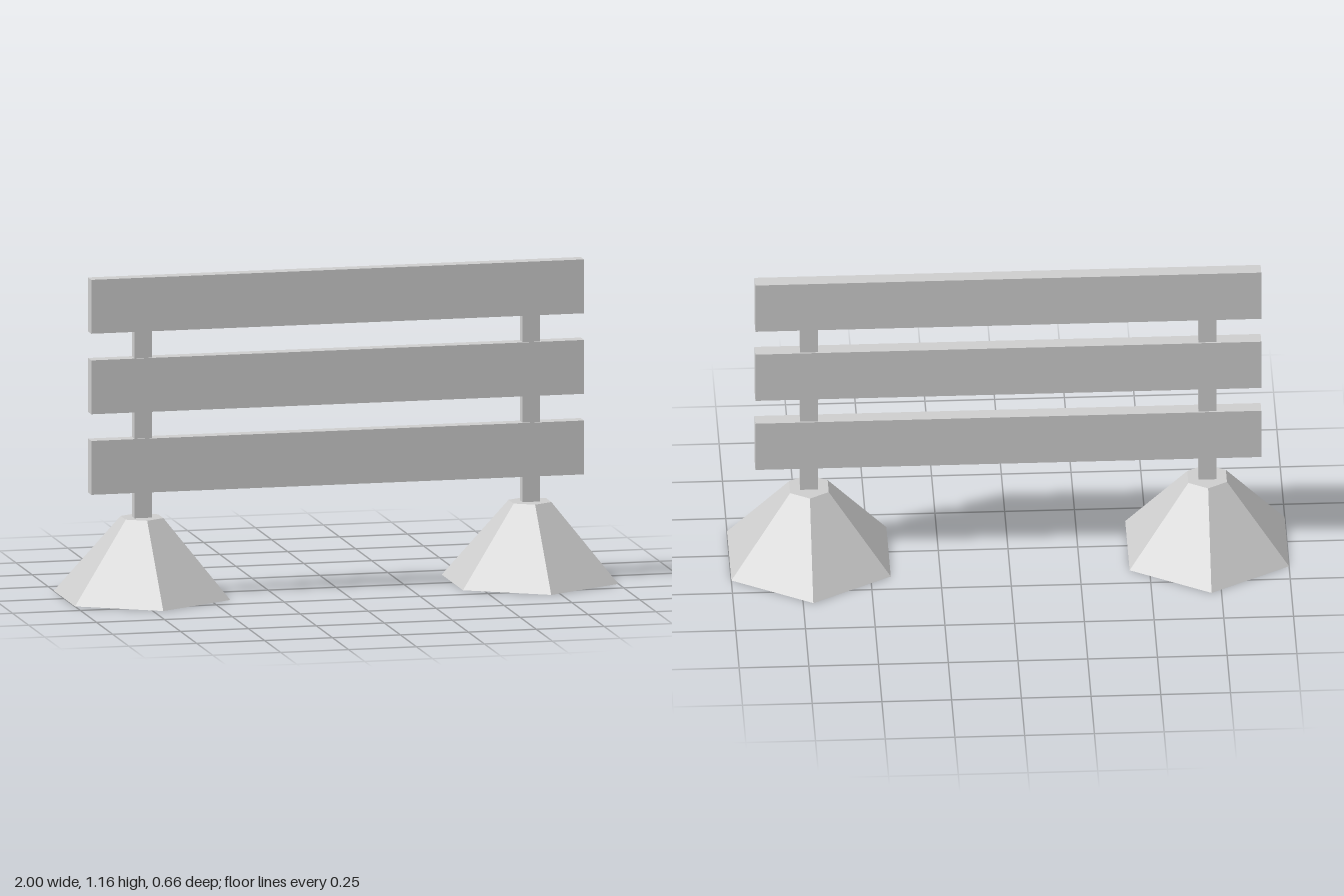
import * as THREE from 'three';

export function createModel() {
  const model = new THREE.Group();
  model.name = 'barrier';
  const grey = new THREE.MeshStandardMaterial({ color: 0xcccccc, flatShading: true });
  grey.name = 'light grey';

  const add = (name, geometry, x, y) => {
    const mesh = new THREE.Mesh(geometry, grey);
    mesh.name = name;
    mesh.position.set(x, y, 0);
    model.add(mesh);
  };

  // Tapered hexagonal feet, each carrying a post
  const baseHeight = 0.285, postTop = 1.1;
  const footGeometry = new THREE.CylinderGeometry(0.08, 0.33, baseHeight, 6);
  const postGeometry = new THREE.BoxGeometry(0.064, postTop - 0.25, 0.04);
  for (const [side, x] of [['left', 0.714], ['right', -0.714]]) {
    add(side + 'Foot', footGeometry, x, baseHeight / 2);
    add(side + 'Post', postGeometry, x, (postTop + 0.25) / 2);
  }

  // Three horizontal planks
  const plankGeometry = new THREE.BoxGeometry(1.814, 0.196, 0.052);
  ['lowerPlank', 'middlePlank', 'upperPlank'].forEach((name, i) =>
    add(name, plankGeometry, 0, 0.476 + i * 0.293));

  return model;
}
